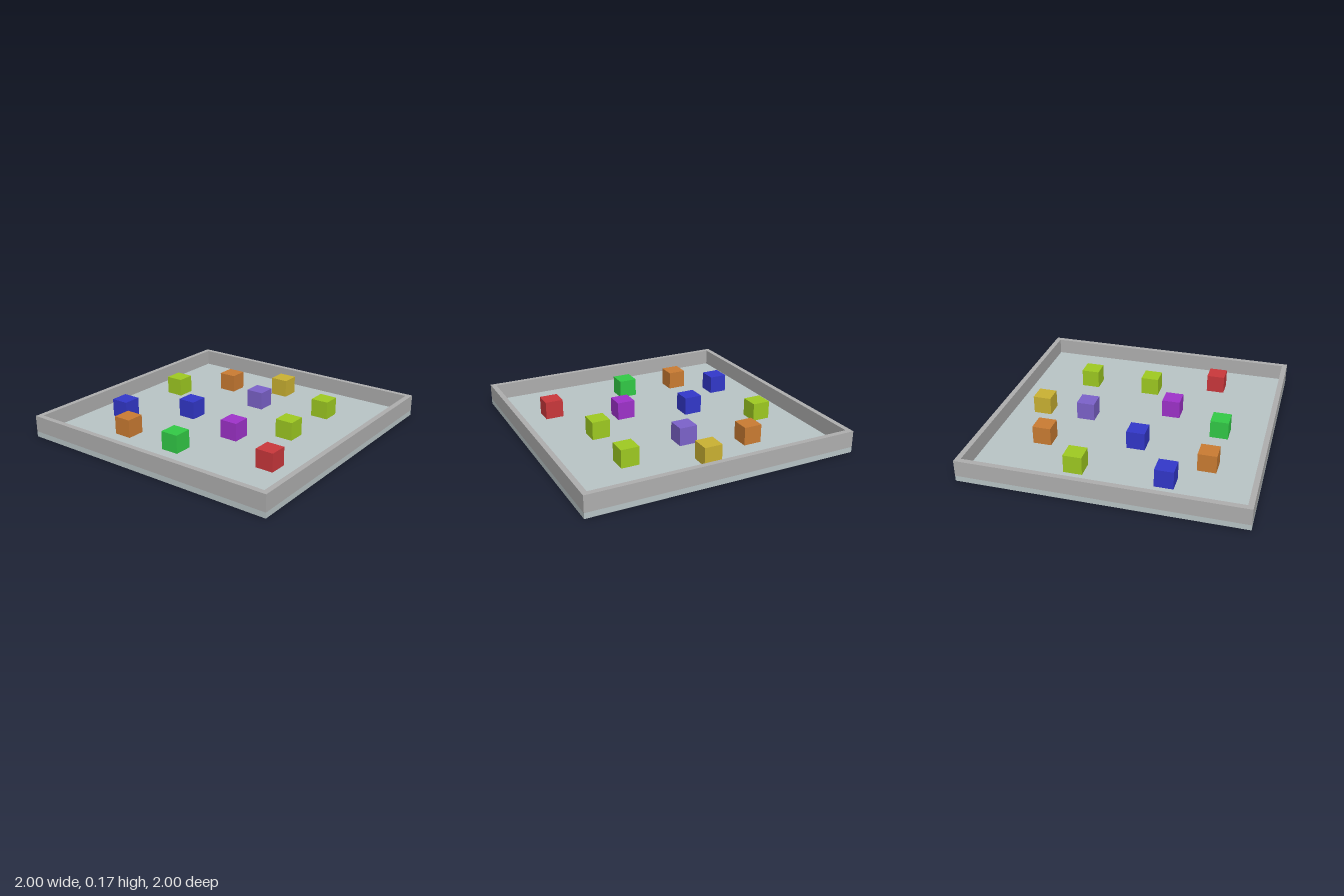
import * as THREE from 'three';

const FLOOR = 0.04, RIM = 0.16, WALL = 0.038, CUBE = 0.134;

const material = (color) => new THREE.MeshStandardMaterial({ color, flatShading: true });

// Square outline centred on the origin
function square(PathType, half) {
  return new PathType([[-1, -1], [1, -1], [1, 1], [-1, 1]]
    .map(([x, y]) => new THREE.Vector2(x * half, y * half)));
}

export function createModel() {
  const model = new THREE.Group();
  model.name = 'trayWithCubes';

  function add(name, geometry, mat, x, y, z) {
    const mesh = new THREE.Mesh(geometry, mat);
    mesh.name = name;
    mesh.position.set(x, y, z);
    model.add(mesh);
  }

  // Floor slab
  add('floor', new THREE.BoxGeometry(2, FLOOR, 2), material(0xbac6c8), 0, FLOOR / 2, 0);

  // Surrounding wall: a square frame standing on the slab
  const frame = square(THREE.Shape, 1);
  frame.holes.push(square(THREE.Path, 1 - WALL));
  const wall = new THREE.ExtrudeGeometry(frame, { depth: RIM - FLOOR, bevelEnabled: false });
  wall.rotateX(-Math.PI / 2);
  add('wall', wall, material(0xb0b0b0), 0, FLOOR, 0);

  // Loose cubes: colour name, colour, then x, z pairs
  const cubes = [
    ['blue', 0x3338cc, [[-0.385, -0.7], [-0.083, -0.3]]],
    ['lime', 0xa0cc22, [[0.247, -0.7], [0.02, 0.503], [0.512, 0.503]]],
    ['orange', 0xcc7d33, [[-0.623, -0.446], [0.578, -0.411]]],
    ['green', 0x33cc47, [[-0.627, -0.003]]],
    ['violet', 0x7d63cc, [[0.386, -0.003]]],
    ['yellow', 0xccb333, [[0.731, -0.003]]],
    ['purple', 0xa033cc, [[-0.223, 0.197]]],
    ['red', 0xcc383c, [[-0.477, 0.675]]],
  ];
  const cube = new THREE.BoxGeometry(CUBE, CUBE, CUBE);
  for (const [name, color, places] of cubes) {
    const mat = material(color);
    for (const [x, z] of places) add(name + 'Cube', cube, mat, x, FLOOR + CUBE / 2, z);
  }
  return model;
}
